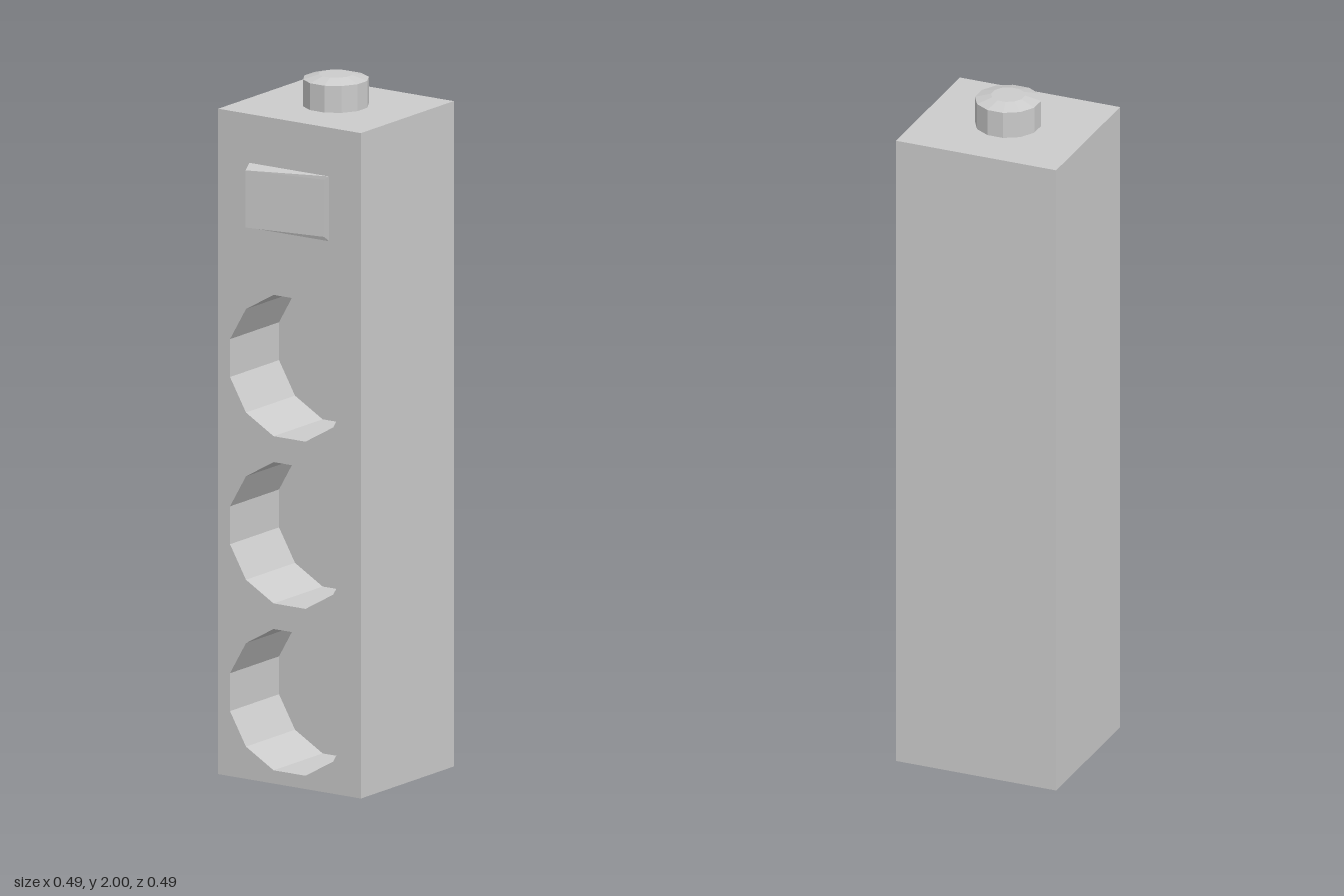
import * as THREE from 'three';

const W = 0.243, H = 1.91, BACK = -0.247, FRONT = 0.202, FLOOR = -0.035;
const SIDES = 12;

export function createModel() {
  const group = new THREE.Group();
  const material = new THREE.MeshStandardMaterial({ color: 0xcccccc, flatShading: true });
  const add = (name, geometry, x = 0, y = 0, z = 0) => {
    const mesh = new THREE.Mesh(geometry, material);
    mesh.name = name;
    mesh.position.set(x, y, z);
    group.add(mesh);
    return mesh;
  };

  // Rear half of the casing; its front forms the socket floors
  add('casingBack', new THREE.BoxGeometry(2 * W, H, FLOOR - BACK), 0, H / 2, (FLOOR + BACK) / 2);

  // Front half of the casing, pierced by three twelve-sided sockets
  const face = new THREE.Shape([
    new THREE.Vector2(-W, 0), new THREE.Vector2(W, 0),
    new THREE.Vector2(W, H), new THREE.Vector2(-W, H),
  ]);
  for (const y of [0.241, 0.72, 1.2]) {
    const points = [];
    for (let i = 0; i < SIDES; i++) {
      const a = -(i + 0.5) / SIDES * Math.PI * 2;
      points.push(new THREE.Vector2(0.21 * Math.cos(a), y + 0.21 * Math.sin(a)));
    }
    face.holes.push(new THREE.Path(points));
  }
  add('casingFront', new THREE.ExtrudeGeometry(face, { depth: FRONT - FLOOR, bevelEnabled: false }), 0, 0, FLOOR);

  // Round button on top, with a shallow bevelled crown
  const profile = [[0, 0], [0.093, 0], [0.093, 0.077], [0.048, 0.09], [0, 0.09]];
  const button = new THREE.LatheGeometry(profile.map(([r, y]) => new THREE.Vector2(r, y)), SIDES, Math.PI / SIDES);
  add('topButton', button, 0, H, -0.022);

  // Tilted rocker switch: a box whose front corners are drawn in and sloped
  const rocker = new THREE.BoxGeometry(1, 1, 1);
  const p = rocker.attributes.position;
  for (let i = 0; i < p.count; i++) {
    const left = p.getX(i) < 0, top = p.getY(i) > 0;
    if (p.getZ(i) > 0) p.setXYZ(i, left ? -0.121 : 0.12, top ? 0.082 : -0.082, left ? 0.041 : 0.003);
    else p.setXYZ(i, left ? -0.137 : 0.135, top ? 0.093 : -0.093, 0);
  }
  rocker.computeVertexNormals();
  add('rockerSwitch', rocker, 0, 1.677, FRONT);

  return group;
}
